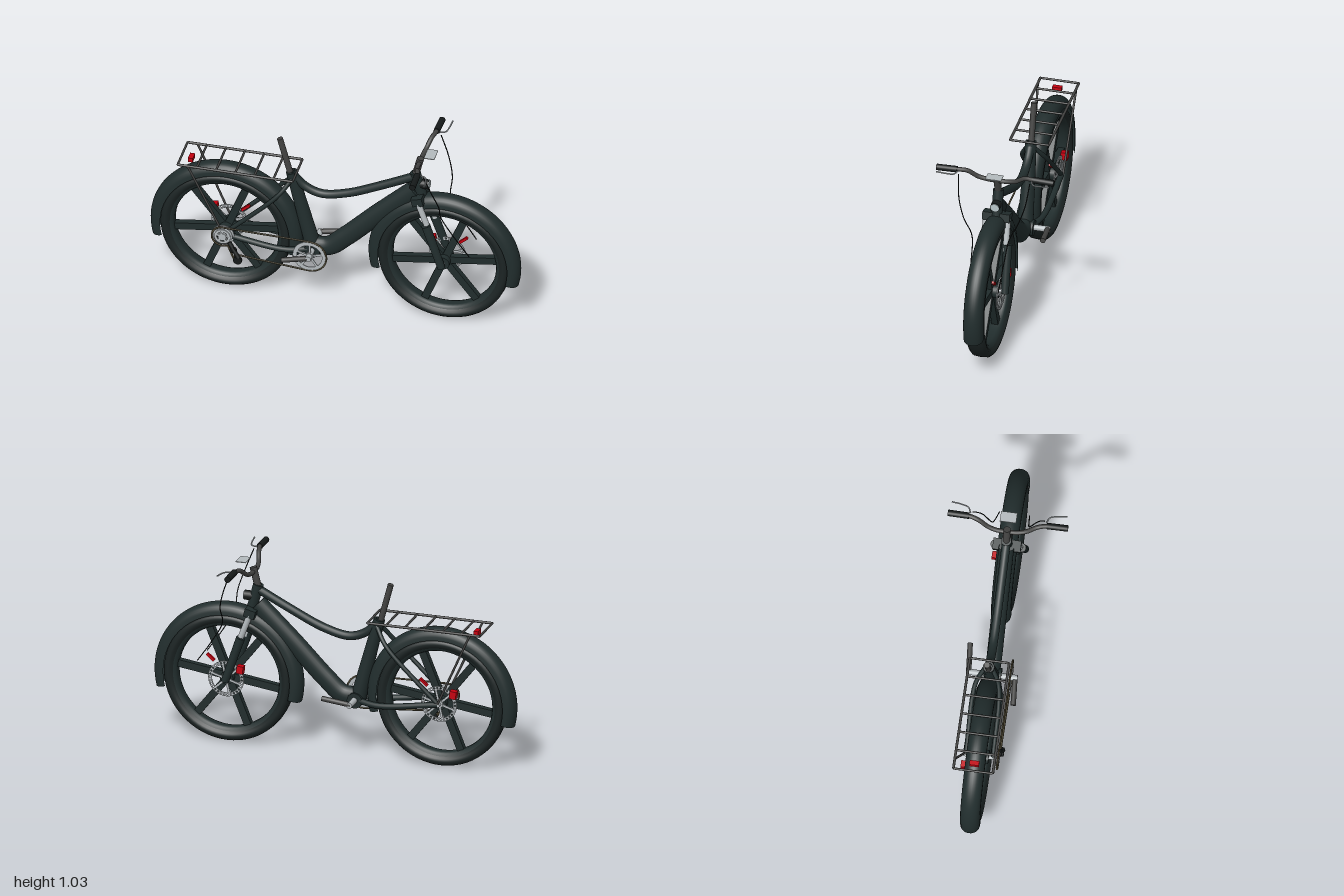
import * as THREE from 'three';

const mat = (name, color, side = THREE.FrontSide) => {
  const m = new THREE.MeshStandardMaterial({ color, side });
  m.name = name;
  return m;
};
const V = (x, y, z = 0) => new THREE.Vector3(x, y, z);
const REAR = V(-0.59, 0.353), FRONT = V(0.585, 0.353), CRANK = V(-0.12, 0.31);

export function createModel() {
  const model = new THREE.Group();
  model.name = 'bicycle';
  const paint = mat('dark green paint', 0x212d2d, THREE.DoubleSide);
  const rubber = mat('black rubber', 0x1c2424);
  const black = mat('black plastic', 0x161a1a);
  const grey = mat('dark grey metal', 0x424241);
  const silver = mat('silver metal', 0xb4babd, THREE.DoubleSide);
  const red = mat('red', 0xc4000f);
  const brass = mat('chain metal', 0x544d38);
  const lens = mat('lamp lens', 0xb9c6c9);

  const add = (name, geo, material, parent = model) => {
    const m = new THREE.Mesh(geo, material);
    m.name = name;
    parent.add(m);
    return m;
  };
  // Straight round bar between two points
  const rod = (name, a, b, r, material, r2 = r, parent = model) => {
    const d = b.clone().sub(a);
    const m = add(name, new THREE.CylinderGeometry(r2, r, d.length(), 20), material, parent);
    m.position.copy(a).add(b).multiplyScalar(0.5);
    m.quaternion.setFromUnitVectors(V(0, 1), d.normalize());
    return m;
  };
  const tube = (name, pts, r, material, seg = 48, sides = 16) =>
    add(name, new THREE.TubeGeometry(new THREE.CatmullRomCurve3(pts), seg, r, sides), material);
  const box = (name, p, s, material, angle = 0, parent = model) => {
    const m = add(name, new THREE.BoxGeometry(...s), material, parent);
    m.position.copy(p);
    m.rotation.z = angle;
    return m;
  };
  // Profile of [radius, z] turned about the wheel axle
  const spin = (name, pts, material, parent, start = 0, len = Math.PI * 2) => {
    const geo = new THREE.LatheGeometry(pts.map(p => new THREE.Vector2(...p)), 72, start, len);
    return add(name, geo.rotateX(Math.PI / 2), material, parent);
  };
  // Flat ring with arms and a row of round holes
  const plate = (name, outer, inner, arms, holes, z, parent) => {
    const g = new THREE.Group();
    g.name = name;
    g.position.z = z;
    parent.add(g);
    const s = new THREE.Shape().absarc(0, 0, outer, 0, Math.PI * 2);
    s.holes.push(new THREE.Path().absarc(0, 0, inner, 0, Math.PI * 2, true));
    for (let i = 0; i < holes; i++) {
      const a = i / holes * Math.PI * 2, r = (outer + inner) / 2;
      s.holes.push(new THREE.Path().absarc(r * Math.cos(a), r * Math.sin(a), 0.0048, 0, Math.PI * 2, true));
    }
    add(name + 'Ring', new THREE.ExtrudeGeometry(s, { depth: 0.005, bevelEnabled: false, curveSegments: 24 })
      .translate(0, 0, -0.0025), silver, g);
    for (let i = 0; i < arms; i++) {
      const a = i / arms * Math.PI * 2 + 0.3, mid = (inner + 0.02) / 2;
      box(name + 'Arm', V(Math.cos(a) * mid, Math.sin(a) * mid), [inner - 0.01, 0.012, 0.005], silver, a, g);
    }
    rod(name + 'Centre', V(0, 0, -0.006), V(0, 0, 0.006), 0.022, silver, 0.022, g);
  };

  // Wheels with tyre, rim, six broad spokes, disc brake and mudguard
  for (const [name, centre] of [['rear', REAR], ['front', FRONT]]) {
    const w = new THREE.Group();
    w.name = name + 'Wheel';
    w.position.copy(centre);
    model.add(w);
    spin('tyre', [[0.3, -0.036], [0.312, -0.047], [0.325, -0.051], [0.338, -0.047], [0.35, -0.034],
      [0.353, 0], [0.35, 0.034], [0.338, 0.047], [0.325, 0.051], [0.312, 0.047], [0.3, 0.036]], rubber, w);
    spin('rim', [[0.302, -0.037], [0.286, -0.03], [0.28, -0.015], [0.28, 0.015], [0.286, 0.03], [0.302, 0.037]], paint, w);
    for (let i = 0; i < 6; i++) {
      const a = (8 + 60 * i) * Math.PI / 180;
      box('spoke', V(Math.cos(a) * 0.155, Math.sin(a) * 0.155), [0.26, 0.04, 0.034], paint, a, w);
    }
    rod('hub', V(0, 0, -0.05), V(0, 0, 0.05), 0.036, paint, 0.036, w);
    rod('axle', V(0, 0, -0.085), V(0, 0, 0.085), 0.012, silver, 0.012, w);
    plate('brakeDisc', 0.098, 0.078, 6, 30, -0.056, w);
    box('brakeCaliper', V(-0.084, 0.066, -0.068), [0.036, 0.042, 0.036], red, 0.1, w);
    box('brakePad', V(0.09, 0.105, -0.04), [0.055, 0.014, 0.014], red, 0.72, w);
    const arch = [];
    for (let i = 0; i <= 14; i++) {
      const t = Math.PI * i / 14;
      arch.push([0.348 + 0.062 * Math.pow(Math.sin(t), 0.75), -0.053 * Math.cos(t)]);
    }
    spin('mudguard', arch, paint, w, 76 * Math.PI / 180, 208 * Math.PI / 180);
  }

  // Frame
  tube('downTube', [V(-0.13, 0.315), V(-0.04, 0.325), V(0.05, 0.4), V(0.23, 0.58), V(0.43, 0.77)], 0.054, paint, 48, 24)
    .scale.z = 0.75;
  tube('topTube', [V(0.43, 0.855), V(0.25, 0.765), V(0.06, 0.68), V(-0.08, 0.652), V(-0.17, 0.685), V(-0.245, 0.76)], 0.023, paint);
  rod('seatTube', V(-0.125, 0.31), V(-0.242, 0.765), 0.042, paint, 0.03);
  rod('seatPost', V(-0.245, 0.74), V(-0.305, 0.965), 0.016, grey);
  rod('bottomBracket', V(-0.12, 0.31, -0.05), V(-0.12, 0.31, 0.05), 0.042, paint);
  rod('headTube', V(0.468, 0.715), V(0.425, 0.88), 0.028, paint);
  for (const s of [-1, 1]) {
    tube('seatStay', [V(-0.235, 0.73, s * 0.02), V(-0.3, 0.64, s * 0.062), V(-0.59, 0.353, s * 0.072)], 0.012, paint);
    tube('chainStay', [V(-0.13, 0.31, s * 0.03), V(-0.26, 0.305, s * 0.064), V(-0.59, 0.353, s * 0.072)], 0.016, paint);
    // Suspension fork leg
    rod('forkStanchion', V(0.452, 0.73, s * 0.058), V(0.515, 0.56, s * 0.062), 0.016, silver);
    rod('forkLower', V(0.5, 0.595, s * 0.07), V(0.585, 0.345, s * 0.076), 0.024, paint, 0.021);
    // Handlebar end
    rod('grip', V(0.488, 1.01, s * 0.205), V(0.49, 1.008, s * 0.317), 0.017, black);
    tube('brakeLever', [V(0.505, 1.008, s * 0.2), V(0.535, 1.008, s * 0.215), V(0.545, 1.012, s * 0.25), V(0.55, 1.018, s * 0.305)],
      0.004, silver, 20, 8);
    tube('brakeCable', [V(0.515, 1.0, s * 0.193), V(0.56, 0.88, s * 0.178), V(0.588, 0.78, s * 0.145), V(0.59, 0.68, s * 0.1),
      V(0.65, 0.57, s * 0.088), V(0.735, 0.445, s * 0.08)], 0.003, black, 60, 6);
    // Rack side
    rod('rackRail', V(-0.83, 0.775, s * 0.104), V(-0.21, 0.775, s * 0.104), 0.007, grey);
    rod('rackStrut', V(-0.775, 0.772, s * 0.104), V(-0.59, 0.36, s * 0.082), 0.006, grey);
  }
  box('forkCrown', V(0.452, 0.733), [0.06, 0.045, 0.148], paint, 0.25);

  // Stem, handlebar, display and headlamp
  rod('stem', V(0.428, 0.87), V(0.454, 0.972), 0.019, grey);
  tube('handlebar', [V(0.488, 1.01, -0.29), V(0.486, 1.01, -0.2), V(0.475, 1.003, -0.155), V(0.458, 0.965, -0.1), V(0.45, 0.951, -0.05),
    V(0.45, 0.95, 0), V(0.45, 0.951, 0.05), V(0.458, 0.965, 0.1), V(0.475, 1.003, 0.155), V(0.486, 1.01, 0.2), V(0.488, 1.01, 0.29)],
  0.012, grey, 80);
  box('display', V(0.51, 1.006), [0.056, 0.004, 0.086], silver);
  rod('headlamp', V(0.44, 0.812), V(0.5, 0.812), 0.026, black);
  rod('headlampLens', V(0.499, 0.812), V(0.504, 0.812), 0.023, lens);

  // Rack cross bars and tail lamp
  for (let i = 0; i < 7; i++) {
    const x = -0.83 + i * 0.62 / 6;
    rod('rackCrossBar', V(x, 0.775, -0.104), V(x, 0.775, 0.104), 0.006, grey);
  }
  box('tailLamp', V(-0.782, 0.757), [0.026, 0.024, 0.05], red);

  // Drive train
  const drive = new THREE.Group();
  drive.name = 'chainring';
  drive.position.copy(CRANK);
  model.add(drive);
  plate('chainring', 0.09, 0.068, 5, 0, 0.1, drive);
  rod('crankAxle', V(-0.12, 0.313, -0.135), V(-0.12, 0.313, 0.135), 0.016, silver);
  rod('leftCrank', V(-0.125, 0.31, 0.122), V(-0.262, 0.282, 0.132), 0.014, grey);
  rod('rightCrank', V(-0.125, 0.314, -0.122), V(0.03, 0.337, -0.135), 0.014, grey);
  const cassette = new THREE.Group();
  cassette.name = 'cassette';
  cassette.position.copy(REAR);
  model.add(cassette);
  [0.06, 0.052, 0.044].forEach((r, i) => plate('sprocket', r, r - 0.014, 5, 0, 0.082 + i * 0.009, cassette));
  rod('derailleurCage', V(-0.555, 0.32, 0.095), V(-0.5, 0.24, 0.112), 0.012, black);
  rod('jockeyWheel', V(-0.505, 0.225, 0.104), V(-0.505, 0.225, 0.118), 0.024, black);
  rod('upperJockeyWheel', V(-0.53, 0.28, 0.098), V(-0.53, 0.28, 0.11), 0.018, black);

  // Chain loop around chainring, cassette and tensioner
  const loop = [];
  const arc = (c, r, from, to) => {
    for (let i = 0; i <= 12; i++) {
      const a = (from + (to - from) * i / 12) * Math.PI / 180;
      loop.push(V(c.x + r * Math.cos(a), c.y + r * Math.sin(a), 0.1));
    }
  };
  arc(CRANK, 0.092, 85, -95);
  arc(V(-0.505, 0.225), 0.025, 90, 180);
  arc(REAR, 0.058, 300, 85);
  const path = new THREE.CatmullRomCurve3(loop, true, 'catmullrom', 0);
  add('chain', new THREE.TubeGeometry(path, 240, 0.005, 6, true), brass);

  return model;
}
